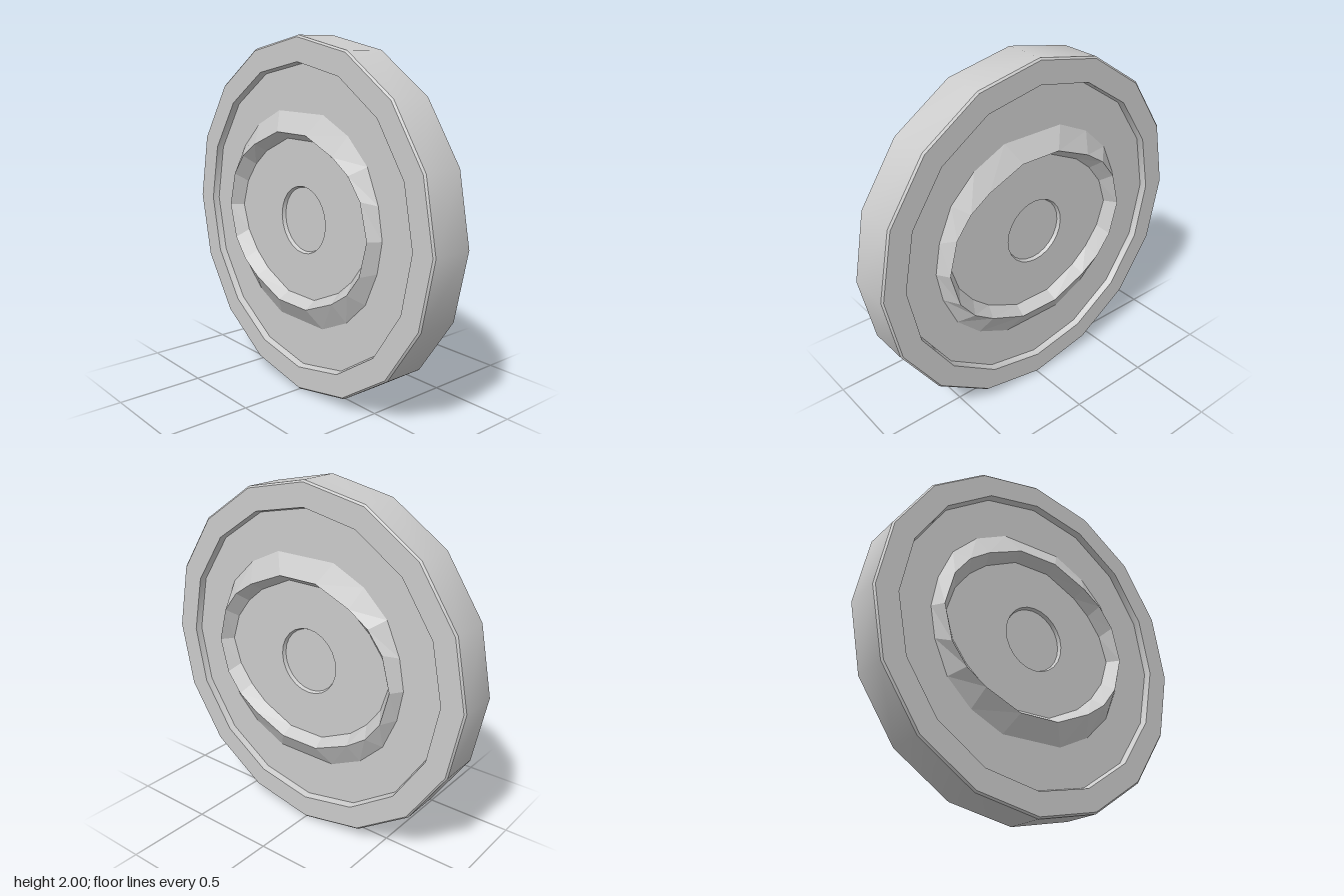
import * as THREE from 'three';
import { toCreasedNormals } from 'three/addons/utils/BufferGeometryUtils.js';

const material = new THREE.MeshStandardMaterial({ color: 0xcccccc });
const flatMaterial = new THREE.MeshStandardMaterial({ color: 0xcccccc, flatShading: true });
const FLOOR = 0.09; // height of the recessed face above the mid plane

function addMesh(parent, name, geometry, mat = material) {
  const mesh = new THREE.Mesh(geometry, mat);
  mesh.name = name;
  parent.add(mesh);
  return mesh;
}

// Lathe around the z axis; profile points are [radius, z]
function turned(profile, sides) {
  const lathe = new THREE.LatheGeometry(profile.map(([r, z]) => new THREE.Vector2(r, z)), sides);
  return toCreasedNormals(lathe.rotateX(Math.PI / 2), 0.45);
}

function polygon(PathType, radius, sides) {
  const points = [];
  for (let i = 0; i < sides; i++) {
    const a = (i / sides) * Math.PI * 2;
    points.push(new THREE.Vector2(radius * Math.cos(a), radius * Math.sin(a)));
  }
  return new PathType(points);
}

// Mirrors one quadrant (side to top) into a full loop at height z
function loop(quadrant, z) {
  const half = [...quadrant, ...quadrant.slice().reverse().map(([x, y]) => [-x, y])];
  const lower = half.slice(1, -1).reverse().map(([x, y]) => [x, -y]);
  return [...half, ...lower].map(([x, y]) => [x, y, z]);
}

// Joins nested loops, outermost first
function bridge(loops) {
  const n = loops[0].length;
  const index = [];
  for (let k = 0; k < loops.length - 1; k++) {
    for (let i = 0; i < n; i++) {
      const a = k * n + i, b = k * n + (i + 1) % n;
      index.push(a, b, b + n, a, b + n, a + n);
    }
  }
  const geometry = new THREE.BufferGeometry();
  geometry.setAttribute('position', new THREE.Float32BufferAttribute(loops.flat(2), 3));
  geometry.setIndex(index);
  geometry.computeVertexNormals();
  return geometry;
}

function createFace(name) {
  const face = new THREE.Group();
  face.name = name;

  // Recessed plate with an opening for the hub dish
  const plate = polygon(THREE.Shape, 0.852, 16);
  plate.holes.push(polygon(THREE.Path, 0.19, 24));
  addMesh(face, 'plate', new THREE.ShapeGeometry(plate).translate(0, 0, FLOOR));

  // Shallow dish in the middle
  const dish = [[0.19, FLOOR], [0.182, 0.07], [0, 0.07]];
  addMesh(face, 'hubDish', turned(dish, 24));

  // Raised oval ridge, slightly off centre
  const outer = [[0.642, 0], [0.61, 0.175], [0.528, 0.36], [0.382, 0.5], [0.188, 0.592]];
  const crest = [[0.6, 0], [0.548, 0.195], [0.457, 0.312], [0.338, 0.392], [0.122, 0.483]];
  const inner = [[0.553, 0], [0.505, 0.15], [0.42, 0.262], [0.315, 0.35], [0.115, 0.443]];
  const ridge = bridge([loop(outer, FLOOR), loop(crest, 0.157), loop(inner, FLOOR)]);
  addMesh(face, 'ovalRidge', ridge, flatMaterial).position.x = -0.018;

  return face;
}

export function createModel() {
  const model = new THREE.Group();
  model.name = 'wheel';
  const wheel = new THREE.Group();
  wheel.name = 'disc';
  wheel.position.y = 1;
  model.add(wheel);

  // Sixteen-sided rim with bevelled edges and a step down to each face
  const front = [[1, 0.117], [0.99, 0.127], [0.862, 0.127], [0.852, FLOOR]];
  const back = front.map(([r, z]) => [r, -z]).reverse();
  addMesh(wheel, 'rim', turned([...back, ...front], 16));

  // Both faces are alike, the back one turned half round
  wheel.add(createFace('frontFace'));
  const backFace = createFace('backFace');
  backFace.rotation.y = Math.PI;
  wheel.add(backFace);

  return model;
}
